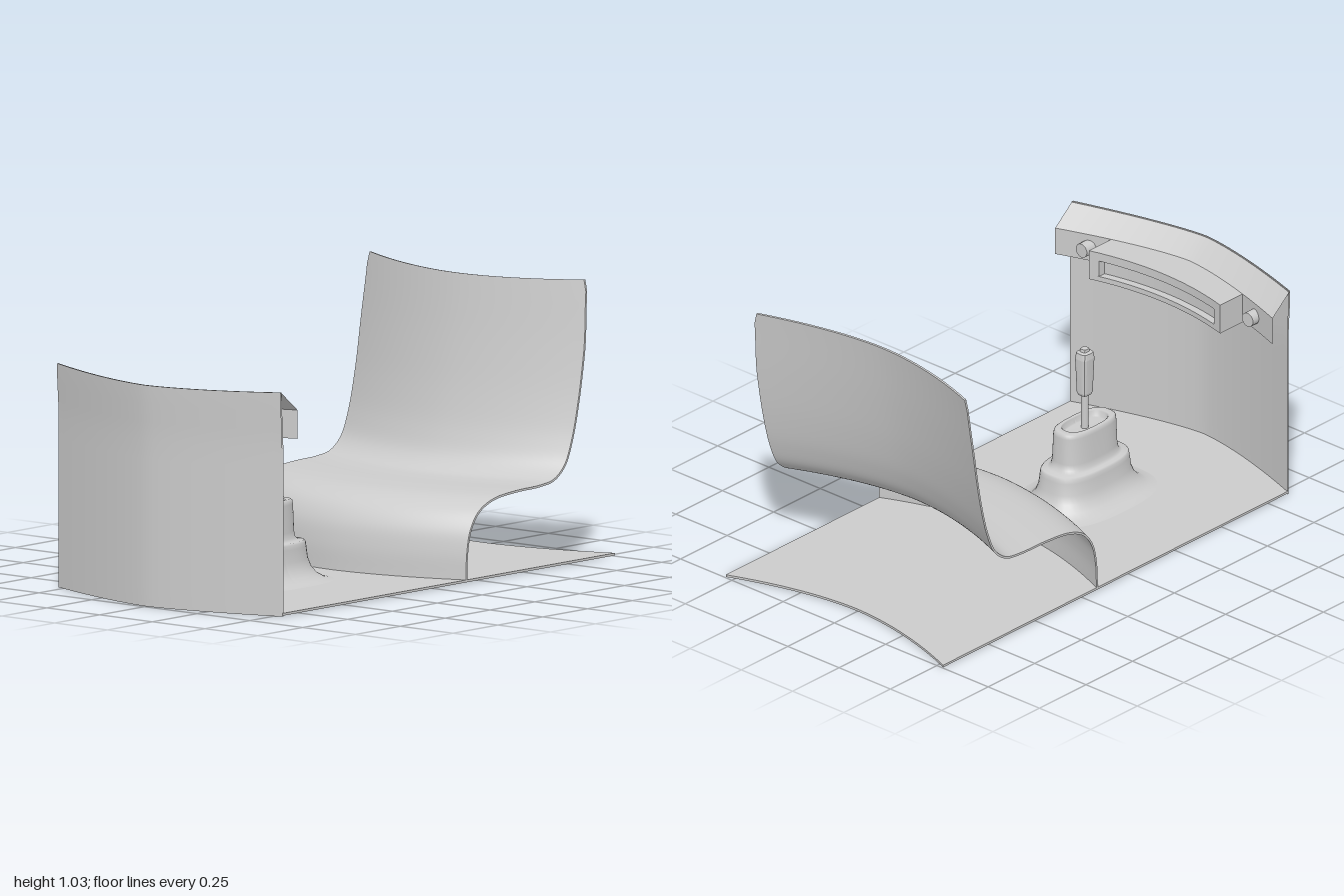
import * as THREE from 'three';

const HALF = 0.53;
const grey = () => new THREE.MeshStandardMaterial({ color: 0xcccccc, side: THREE.DoubleSide });

// Plan curves: distance forward of the front wall and the rear sweep
const wallZ = (x) => 0.99 - 0.135 * Math.pow(Math.abs(x) / HALF, 1.45);
const sweep = (x) => -0.13 * Math.pow(Math.abs(x) / HALF, 1.8);

function add(group, name, geometry) {
  const mesh = new THREE.Mesh(geometry, grey());
  mesh.name = name;
  group.add(mesh);
  return mesh;
}

// Grid surface from point(u, v), with u and v running from 0 to 1
function surface(point, nu, nv) {
  const pos = [], index = [];
  for (let i = 0; i <= nu; i++) {
    for (let j = 0; j <= nv; j++) pos.push(...point(i / nu, j / nv));
  }
  for (let i = 0; i < nu; i++) {
    for (let j = 0; j < nv; j++) {
      const a = i * (nv + 1) + j, b = a + nv + 1;
      index.push(a, b, a + 1, b, b + 1, a + 1);
    }
  }
  const g = new THREE.BufferGeometry();
  g.setAttribute('position', new THREE.Float32BufferAttribute(pos, 3));
  g.setIndex(index);
  g.computeVertexNormals();
  return g;
}

// Stack of rounded-oblong rings [y, half x, half z] about the lever axis
function ringStack(rings, power, sides, zc) {
  return surface((u, v) => {
    const [y, hx, hz] = rings[Math.round(u * (rings.length - 1))];
    const a = -v * Math.PI * 2, c = Math.cos(a), s = Math.sin(a);
    const k = Math.pow(Math.abs(c) ** power + Math.abs(s) ** power, -1 / power);
    return [hx * c * k, y, zc + hz * s * k];
  }, rings.length - 1, sides);
}

// Plan outline between a front curve and a back curve
function outline(x0, x1, front, back, n = 24) {
  const pts = [];
  for (let i = 0; i <= n; i++) {
    const x = x0 + (x1 - x0) * i / n;
    pts.push(new THREE.Vector2(x, back(x)));
  }
  for (let i = n; i >= 0; i--) {
    const x = x0 + (x1 - x0) * i / n;
    pts.push(new THREE.Vector2(x, front(x)));
  }
  return new THREE.Shape(pts);
}

// Horizontal slab of a plan outline from y0 to y1
function slab(shape, y0, y1) {
  return new THREE.ExtrudeGeometry(shape, { depth: y1 - y0, bevelEnabled: false })
    .rotateX(Math.PI / 2).translate(0, y1, 0);
}

function buildSeat(group) {
  const curve = new THREE.CatmullRomCurve3([
    [-0.042, 0.012], [-0.047, 0.11], [-0.066, 0.19], [-0.11, 0.25], [-0.19, 0.287],
    [-0.32, 0.302], [-0.45, 0.306], [-0.53, 0.319], [-0.59, 0.365], [-0.63, 0.45],
    [-0.665, 0.58], [-0.70, 0.77], [-0.735, 1.015],
  ].map(([z, y]) => new THREE.Vector3(0, y, z)), false, 'centripetal');
  const at = (u, v, side) => {
    const p = curve.getPoint(v), t = curve.getTangent(v);
    // The upper corners narrow and round off
    const width = HALF - 0.012 * THREE.MathUtils.smoothstep(p.y, 0.75, 1.0)
      - 0.01 * THREE.MathUtils.smoothstep(p.y, 0.99, 1.015);
    const x = (u * 2 - 1) * width;
    const lift = 0.012 * (x / HALF) ** 2 * THREE.MathUtils.smoothstep(p.y, 0.6, 1.0);
    return [x, p.y + lift - t.z * 0.004 * side, p.z + sweep(x) + t.y * 0.004 * side];
  };
  add(group, 'seatUpperSurface', surface((u, v) => at(u, v, 1), 28, 70));
  add(group, 'seatUnderSurface', surface((u, v) => at(1 - u, v, -1), 28, 70));
  for (const u of [0, 1]) {
    add(group, 'seatSideRim', surface((s, v) => at(u, v, u ? 1 - 2 * s : 2 * s - 1), 1, 70));
  }
  add(group, 'seatTopRim', surface((u, s) => at(u, 1, 1 - 2 * s), 28, 1));
}

function buildDashboard(group) {
  // Sloping cover and its rear apron, open below and at the ends
  const topY = (x) => 0.81 + 0.01 * (x / HALF) ** 2;
  const xAt = (u) => (u * 2 - 1) * HALF;
  add(group, 'dashboardTop', surface((u, v) => {
    const x = xAt(u);
    return [x, THREE.MathUtils.lerp(topY(x), 0.745, v), wallZ(x) + 0.008 - 0.093 * v];
  }, 28, 1));
  add(group, 'dashboardApron', surface((u, v) => {
    const x = xAt(u);
    return [x, 0.745 - 0.105 * v, wallZ(x) - 0.085];
  }, 28, 1));

  // Console box with a long slot in its rear face
  const front = (x) => wallZ(x) - 0.08;
  const back = (x) => 0.765 - 0.045 * (x / 0.32) ** 2;
  const inner = (x) => back(x) + 0.03;
  const parts = [
    ['consoleTop', -0.32, 0.32, back, 0.712, 0.745],
    ['consoleBottom', -0.32, 0.32, back, 0.63, 0.65],
    ['consoleSlotBack', -0.28, 0.28, inner, 0.65, 0.712],
    ['consoleEnd', -0.32, -0.28, back, 0.65, 0.712],
    ['consoleEnd', 0.28, 0.32, back, 0.65, 0.712],
  ];
  for (const [name, x0, x1, rear, y0, y1] of parts) {
    add(group, name, slab(outline(x0, x1, front, rear), y0, y1));
  }

  // Knobs on each side of the console
  for (const side of [-1, 1]) {
    const knob = add(group, 'dashboardKnob', new THREE.CylinderGeometry(0.027, 0.027, 0.06, 20));
    knob.rotation.x = Math.PI / 2;
    knob.position.set(side * 0.405, 0.695, 0.803);
  }
}

function buildLever(group) {
  const zc = 0.345;
  // Hollow housing flaring out of the floor, with a sunken top
  add(group, 'leverHousing', ringStack([
    [0.012, 0.2, 0.28], [0.018, 0.17, 0.25], [0.035, 0.142, 0.223], [0.06, 0.123, 0.204],
    [0.09, 0.112, 0.193], [0.135, 0.107, 0.187], [0.15, 0.105, 0.185], [0.157, 0.1, 0.18],
    [0.159, 0.085, 0.158], [0.168, 0.077, 0.145], [0.19, 0.073, 0.14], [0.29, 0.068, 0.137],
    [0.303, 0.066, 0.135], [0.308, 0.06, 0.128], [0.308, 0.052, 0.105], [0.304, 0.049, 0.1],
    [0.285, 0.047, 0.097], [0.283, 0.04, 0.09], [0.283, 0, 0],
  ], 2.8, 56, zc));
  const shaft = add(group, 'leverShaft', new THREE.CylinderGeometry(0.014, 0.014, 0.15, 16));
  shaft.position.set(0, 0.355, zc);
  const grip = ringStack([
    [0.418, 0, 0], [0.418, 0.02, 0.022], [0.428, 0.023, 0.026], [0.5, 0.025, 0.029],
    [0.565, 0.028, 0.031], [0.588, 0.025, 0.027], [0.592, 0.014, 0.016],
    [0.603, 0.013, 0.014], [0.606, 0, 0],
  ], 4, 24, zc).toNonIndexed();
  grip.computeVertexNormals();
  add(group, 'leverGrip', grip);
}

export function createModel() {
  const model = new THREE.Group();
  model.name = 'cabin';

  // Floor with an opening under the lever housing
  const floor = outline(-HALF, HALF, wallZ, (x) => -0.88 + sweep(x) * 0.92, 32);
  const hole = new THREE.Path();
  const pts = [];
  for (let i = 0; i < 56; i++) {
    const a = i / 56 * Math.PI * 2, c = Math.cos(a), s = Math.sin(a);
    const k = Math.pow(Math.abs(c) ** 2.8 + Math.abs(s) ** 2.8, -1 / 2.8);
    pts.push(new THREE.Vector2(0.2 * c * k, 0.345 + 0.28 * s * k));
  }
  hole.setFromPoints(pts);
  floor.holes.push(hole);
  add(model, 'floor', slab(floor, 0.003, 0.012));

  // Front wall, leaning forward slightly at the top edge
  const wall = (offset) => (u, v) => {
    const x = (u * 2 - 1) * HALF;
    const top = 0.81 + 0.01 * (x / HALF) ** 2;
    const lean = 0.01 * THREE.MathUtils.smoothstep(v, 0.75, 1);
    return [x, top * v, wallZ(x) + lean - offset];
  };
  add(model, 'frontWallOutside', surface(wall(0), 32, 12));
  add(model, 'frontWallInside', surface((u, v) => wall(0.006)(1 - u, v), 32, 12));

  const seat = new THREE.Group();
  seat.name = 'seat';
  buildSeat(seat);
  const dashboard = new THREE.Group();
  dashboard.name = 'dashboard';
  buildDashboard(dashboard);
  const lever = new THREE.Group();
  lever.name = 'lever';
  buildLever(lever);
  model.add(seat, dashboard, lever);
  return model;
}
